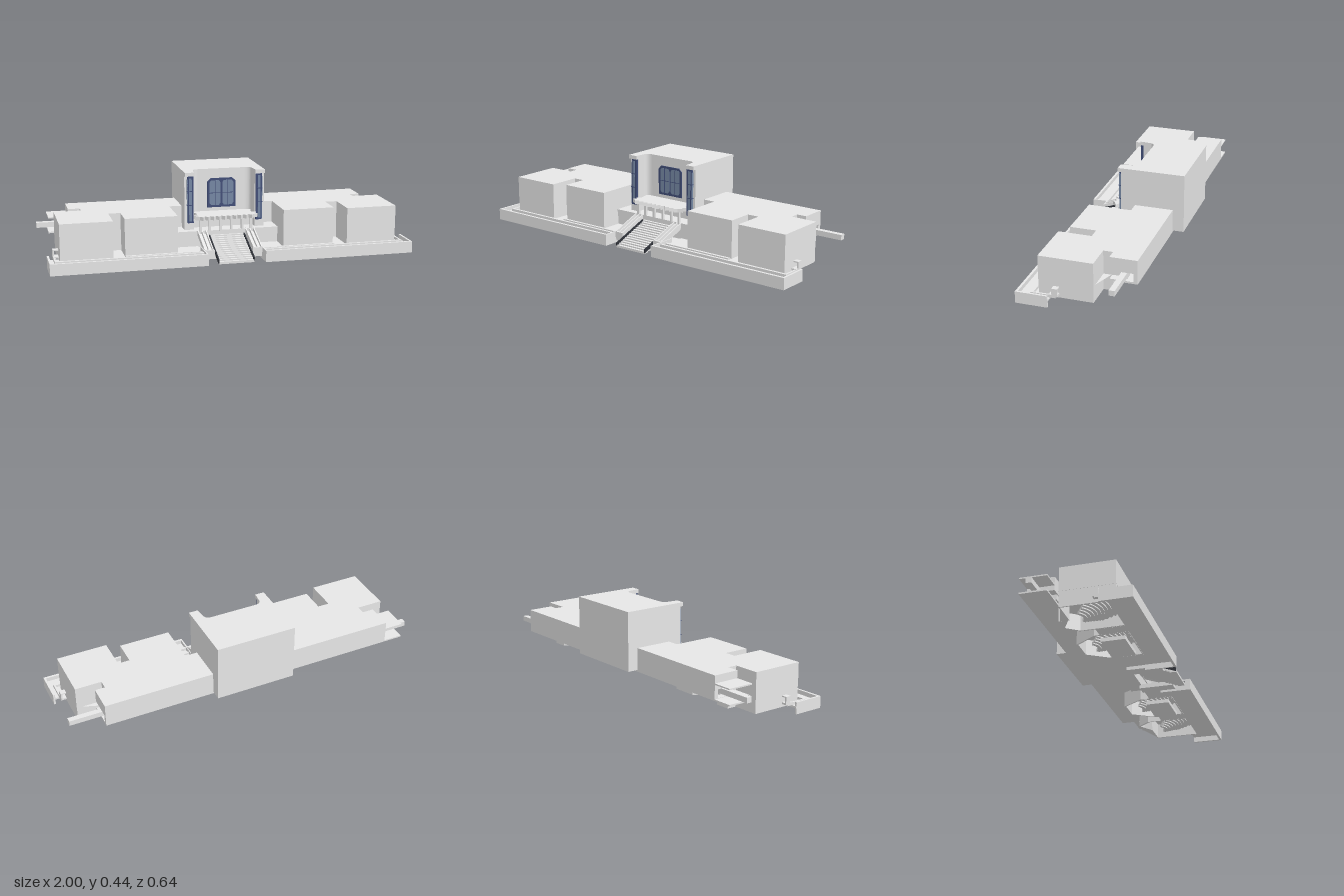
import * as THREE from 'three';

const stone = new THREE.MeshStandardMaterial({ color: 0xe6e6e6 });
stone.name = 'pale stone';
const glass = new THREE.MeshStandardMaterial({ color: 0x7688a4 });
glass.name = 'blue glass';
const frame = new THREE.MeshStandardMaterial({ color: 0x414e78 });
frame.name = 'navy frame';
const dark = new THREE.MeshStandardMaterial({ color: 0x30333a });
dark.name = 'dark rail';

export function createModel() {
  const model = new THREE.Group();
  model.name = 'theatreBuilding';

  const add = (name, geometry, material = stone) => {
    const mesh = new THREE.Mesh(geometry, material);
    mesh.name = name;
    model.add(mesh);
    return mesh;
  };
  // Box given by its limits
  const box = (name, x0, x1, y0, y1, z0, z1, material) => {
    const g = new THREE.BoxGeometry(x1 - x0, y1 - y0, z1 - z0);
    g.translate((x0 + x1) / 2, (y0 + y1) / 2, (z0 + z1) / 2);
    return add(name, g, material);
  };
  // The same box on both sides of the centre
  const pair = (name, x0, x1, ...rest) => {
    box(name + 'Left', x0, x1, ...rest);
    box(name + 'Right', -x1, -x0, ...rest);
  };
  // Upright prism from a plan of [x, z] points
  const toShape = (pts) => new THREE.Shape(pts.map(([x, z]) => new THREE.Vector2(x, z)));
  const prism = (name, shape, y0, y1, material) => {
    const g = new THREE.ExtrudeGeometry(shape, { depth: y1 - y0, bevelEnabled: false, curveSegments: 16 });
    g.rotateX(Math.PI / 2).translate(0, y1, 0);
    return add(name, g, material);
  };

  // Main body: stepped front shared by both wings
  const frontLine = [
    [0.77, -0.117], [0.77, -0.067], [0.915, -0.067], [0.915, 0.218], [0.637, 0.218], [0.637, 0.04],
    [0.572, 0.04], [0.572, 0.18], [0.29, 0.18], [0.29, -0.053],
  ];
  const mirrored = frontLine.map(([x, z]) => [-x, z]).reverse();
  prism('upperBody', toShape([[-0.834, -0.26], [0.824, -0.26], [0.824, -0.117], ...frontLine, ...mirrored, [-0.834, -0.117]]), 0.17, 0.243);
  prism('lowerBody', toShape([...frontLine, ...mirrored]), 0.115, 0.17);
  box('backWall', -0.834, 0.824, 0.115, 0.17, -0.26, -0.24);
  box('corridorFloor', -0.834, 0.824, 0.115, 0.125, -0.24, -0.117);
  box('corridorBench', -0.8, 0.8, 0.135, 0.163, -0.17, -0.117);
  pair('corridorPost', 0.76, 0.8, 0.125, 0.17, -0.2, -0.17);
  pair('notchWall', 0.565, 0.645, 0.03, 0.115, 0.03, 0.04);
  box('ledgeWall', -0.29, 0.29, 0.03, 0.085, 0.05, 0.06);

  // Side canopy and the two access bridges
  box('canopyRoof', -0.94, -0.834, 0.196, 0.203, -0.26, -0.117);
  box('canopyFloor', -0.94, -0.834, 0.115, 0.123, -0.26, -0.117);
  box('bridgeRight', -1, -0.8, 0.135, 0.163, -0.203, -0.173);
  box('bridgeLeft', 0.8, 1, 0.135, 0.163, -0.203, -0.173);

  // Tower with a curved recess in its front
  const tower = new THREE.Shape();
  tower.moveTo(-0.222, -0.32);
  tower.lineTo(0.222, -0.32);
  tower.lineTo(0.222, 0.025);
  tower.lineTo(0.17, 0.025);
  tower.lineTo(0.165, -0.02);
  tower.quadraticCurveTo(0.16, -0.044, 0.13, -0.045);
  tower.lineTo(-0.13, -0.045);
  tower.quadraticCurveTo(-0.16, -0.044, -0.165, -0.02);
  tower.lineTo(-0.17, 0.025);
  tower.lineTo(-0.222, 0.025);
  prism('tower', tower, 0.17, 0.443);
  box('towerBackBase', -0.222, 0.222, 0.125, 0.17, -0.32, -0.24);
  pair('towerPierBase', 0.17, 0.222, 0.12, 0.17, -0.05, 0.025);
  pair('pierCap', 0.17, 0.222, 0.422, 0.443, 0.025, 0.042);
  pair('pierFrame', 0.174, 0.206, 0.165, 0.422, 0.025, 0.039, frame);
  pair('pierGlass', 0.184, 0.199, 0.175, 0.412, 0.037, 0.041, glass);
  pair('pierSideGlass', 0.205, 0.209, 0.17, 0.405, 0.026, 0.039, glass);
  for (const y of [0.262, 0.338]) pair('pierBar', 0.18, 0.21, y, y + 0.004, 0.026, 0.042, frame);

  // Double window in the recess
  const c = 0.018;
  const windowPlate = new THREE.ExtrudeGeometry(toShape([
    [-0.08, 0.228], [0.078, 0.228], [0.078, 0.39 - c], [0.078 - c, 0.39], [-0.08 + c, 0.39], [-0.08, 0.39 - c],
  ]), { depth: 0.005, bevelEnabled: false });
  windowPlate.translate(0, 0, -0.0455);
  add('windowFrame', windowPlate, frame);
  for (const x of [-0.037, 0.035]) {
    const pane = new THREE.ExtrudeGeometry(toShape([
      [-0.022, 0.24], [0.022, 0.24], [0.031, 0.252], [0.031, 0.366], [0.022, 0.378],
      [-0.022, 0.378], [-0.031, 0.366], [-0.031, 0.252],
    ]), { depth: 0.003, bevelEnabled: false });
    pane.translate(x, 0, -0.042);
    add('windowPane', pane, glass);
    box('windowBar', x - 0.0015, x + 0.0015, 0.24, 0.378, -0.041, -0.037, frame);
    box('windowBar', x - 0.03, x + 0.03, 0.307, 0.31, -0.041, -0.037, frame);
  }

  // Entrance ledge and zigzag balcony on columns
  box('entranceLedge', -0.29, 0.29, 0.085, 0.125, -0.053, 0.065);
  const edge = [[-0.165, -0.045], [0.165, -0.045], [0.15, 0.02], [0.175, 0.04], [0.155, 0.055], [0.175, 0.07], [0.15, 0.085]];
  const teeth = 10;
  for (let i = 0; i <= teeth * 2; i++) edge.push([0.15 - (0.3 * i) / (teeth * 2), i % 2 ? 0.1 : 0.082]);
  edge.push([-0.175, 0.07], [-0.155, 0.055], [-0.175, 0.04], [-0.15, 0.02]);
  prism('balcony', toShape(edge), 0.188, 0.208);
  for (const x of [0.03, 0.09, 0.14]) pair('column', x - 0.006, x + 0.006, 0.12, 0.19, 0.055, 0.067);
  box('entranceWall', -0.17, 0.17, 0.125, 0.188, -0.053, -0.02);

  // Central stair, side escalators and rails
  const steps = 14;
  for (let i = 0; i < steps; i++) {
    const y = 0.1 - (i * 0.094) / steps;
    const z = 0.06 + (i * 0.24) / steps;
    box('stairStep', -0.095, 0.095, Math.max(0, y - 0.02), y, z, z + 0.24 / steps + 0.002);
  }
  const slope = (name, x0, x1, z0, yA, z1, yB, height, material) => {
    const profile = toShape([[-z0, yA], [-z1, yB], [-z1, yB + height], [-z0, yA + height]]);
    for (const side of [1, -1]) {
      const g = new THREE.ExtrudeGeometry(profile, { depth: x1 - x0, bevelEnabled: false });
      g.rotateY(Math.PI / 2).translate(side > 0 ? x0 : -x1, 0, 0);
      add(name, g, material);
    }
  };
  slope('stairRail', 0.093, 0.1, 0.08, 0.085, 0.3, 0.004, 0.02, dark);
  slope('escalator', 0.11, 0.155, 0.06, 0.09, 0.23, 0.03, 0.02);
  for (const x of [0.108, 0.13, 0.152]) slope('escalatorRail', x, x + 0.006, 0.06, 0.1, 0.235, 0.035, 0.028);
  pair('escalatorNewel', 0.105, 0.16, 0.03, 0.062, 0.225, 0.24);
  pair('escalatorPit', 0.095, 0.16, 0.012, 0.035, 0.05, 0.235);

  // Low terraces with parapets
  pair('terraceFloor', 0.155, 0.975, 0.03, 0.04, 0.18, 0.31);
  pair('terraceInner', 0.155, 0.29, 0.03, 0.04, 0.05, 0.18);
  pair('terraceNotch', 0.572, 0.637, 0.03, 0.04, 0.04, 0.18);
  pair('terraceSide', 0.915, 0.975, 0.03, 0.04, 0.15, 0.18);
  pair('frontParapet', 0.155, 0.977, 0, 0.062, 0.305, 0.318);
  pair('outerParapet', 0.966, 0.977, 0, 0.062, 0.151, 0.31);
  pair('innerParapet', 0.155, 0.163, 0, 0.062, 0.151, 0.31);
  pair('walkwayStep', 0.163, 0.945, 0.04, 0.054, 0.236, 0.25);
  pair('walkwayEnd', 0.935, 0.945, 0.04, 0.054, 0.12, 0.25);
  pair('planterStep', 0.163, 0.572, 0.04, 0.05, 0.195, 0.21);
  pair('sidePorch', 0.915, 0.945, 0.046, 0.056, 0.11, 0.155);
  pair('sidePorchPost', 0.937, 0.945, 0.056, 0.09, 0.11, 0.14);
  pair('sidePorchRoof', 0.915, 0.945, 0.084, 0.09, 0.11, 0.14);

  // Auditorium shells under the blocks, with curved seating tiers inside
  const auditorium = (cx, plan, zFront, yBase) => {
    const ring = (s) => plan.map(([x, z]) => new THREE.Vector2(cx + (x - cx) * s, 0.05 + (z - 0.05) * s));
    // Outline kept anticlockwise so the hole's walls face inwards
    const outline = (s) => (THREE.ShapeUtils.isClockWise(ring(s)) ? ring(s).reverse() : ring(s));
    const shell = new THREE.Shape(outline(1));
    shell.holes.push(new THREE.Path(outline(0.95)));
    prism('auditoriumShell', shell, 0.03, 0.117);
    const tiers = 12;
    for (let i = 0; i < tiers; i++) {
      const r = 0.05 + i * 0.0165;
      const a = Math.acos(Math.min(0.75, 0.128 / (r + 0.018)));
      const arc = new THREE.Shape();
      arc.absarc(cx, zFront - 0.255, r + 0.0175, a, Math.PI - a, false);
      arc.absarc(cx, zFront - 0.255, r, Math.PI - a, a, true);
      const y = yBase + i * 0.006;
      prism('seatingTier', arc, y, y + 0.016);
    }
  };
  for (const side of [1, -1]) {
    const place = (pts) => pts.map(([x, z]) => [side * x, z]);
    auditorium(side * 0.776, place([
      [0.638, 0.217], [0.638, -0.05], [0.69, -0.117], [0.769, -0.117], [0.769, -0.066], [0.914, -0.066], [0.914, 0.217],
    ]), 0.218, 0.03);
    auditorium(side * 0.431, place([
      [0.291, 0.179], [0.291, 0], [0.366, -0.115], [0.496, -0.115], [0.571, 0], [0.571, 0.179],
    ]), 0.18, 0.03);
    box('lowerSeating', side * 0.431 - 0.1, side * 0.431 + 0.1, 0.012, 0.032, 0.022, 0.15);
  }

  return model;
}
